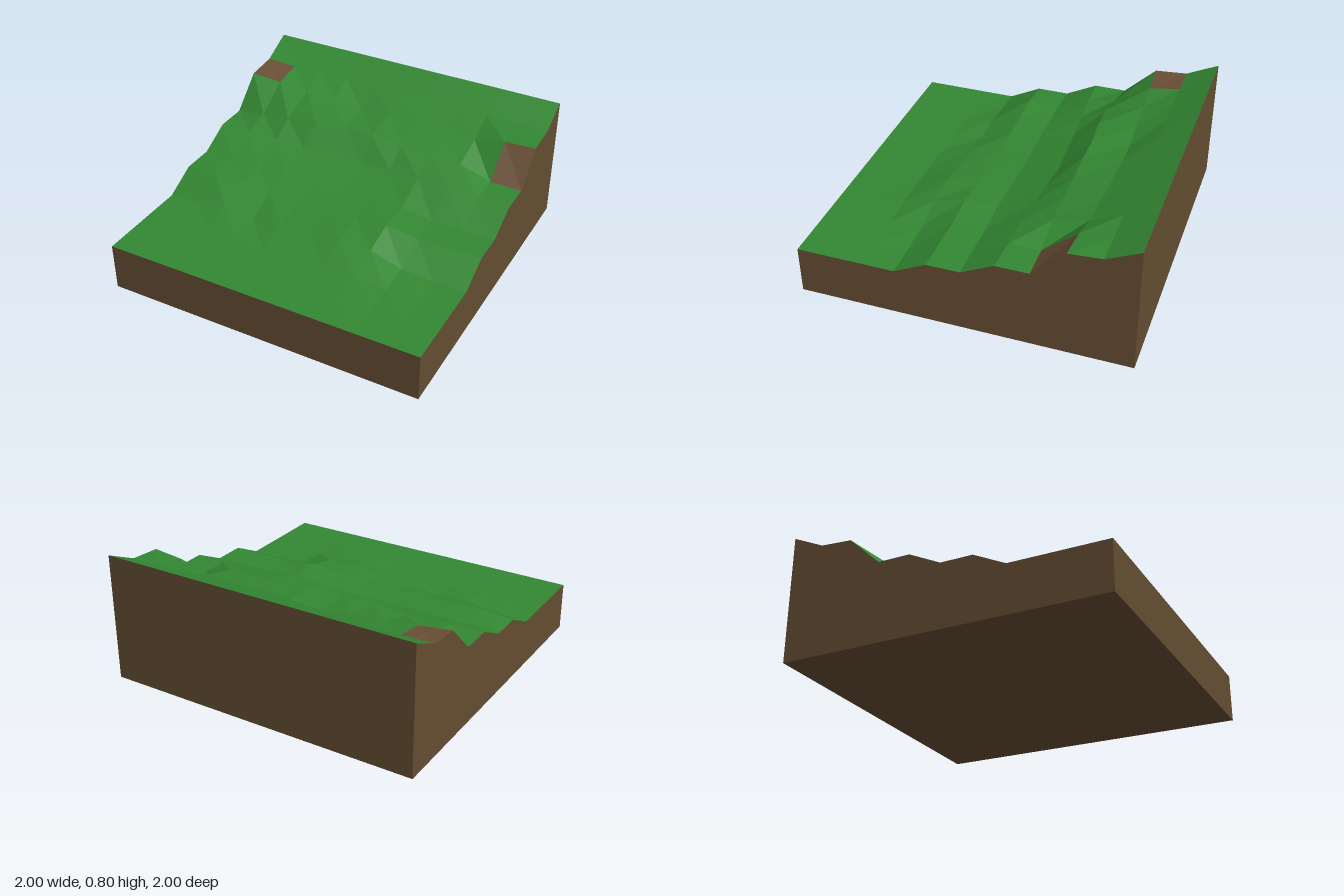
import * as THREE from 'three';

// Terrain rows from back (z = -1) to front (z = 1), eleven heights each from x = -1 to x = 1
const HEIGHTS = [
  [.8, .8, .8, .8, .8, .8, .8, .8, .8, .8, .8],
  [.705, .7, .7, .7, .705, .705, .705, .705, .705, .705, .705],
  [.69, .67, .645, .63, .61, .63, .63, .625, .625, .675, .69],
  [.5, .535, .57, .6, .6, .6, .585, .58, .57, .505, .5],
  [.5, .5, .49, .48, .48, .48, .49, .505, .51, .5, .5],
  [.4, .41, .41, .41, .405, .405, .41, .42, .4, .4, .4],
  [.4, .42, .41, .395, .39, .395, .405, .425, .4, .4, .4],
  [.3, .315, .34, .325, .35, .365, .385, .375, .315, .3, .3],
  [.3, .3, .305, .305, .3, .305, .315, .32, .305, .3, .3],
  [.3, .3, .3, .3, .3, .3, .305, .305, .3, .3, .3],
  [.3, .3, .3, .3, .3, .3, .3, .3, .3, .3, .3],
];
// How far the middle of a row bows along z
const BOW = { 2: -0.04, 4: -0.045 };

const N = 10;
function point(row, col) {
  const x = -1 + col * 0.2;
  let z = -1 + row * 0.2 + (BOW[row] || 0) * (1 - Math.abs(x));
  if (row === 3) z += 0.03 * Math.max(0, 1 - Math.abs(x + 0.6) / 0.4);
  return [x, HEIGHTS[row][col], z];
}

// Two triangles for every grid cell accepted by the filter
function cells(filter) {
  const positions = [];
  for (let r = 0; r < N; r++) {
    for (let c = 0; c < N; c++) {
      if (!filter(r, c)) continue;
      const a = point(r, c), b = point(r + 1, c);
      const d = point(r + 1, c + 1), e = point(r, c + 1);
      positions.push(...a, ...b, ...d, ...a, ...d, ...e);
    }
  }
  const geometry = new THREE.BufferGeometry();
  geometry.setAttribute('position', new THREE.Float32BufferAttribute(positions, 3));
  geometry.computeVertexNormals();
  return geometry;
}

export function createModel() {
  const group = new THREE.Group();
  group.name = 'hillside';

  const material = (name, color) => {
    const m = new THREE.MeshStandardMaterial({ color, flatShading: true });
    m.name = name;
    return m;
  };
  const grass = material('grass', 0x338833);
  const earth = material('earth', 0x644d32);
  const dirt = material('bareDirt', 0x6a4f37);

  const add = (name, geometry, mat) => {
    const mesh = new THREE.Mesh(geometry, mat);
    mesh.name = name;
    group.add(mesh);
    return mesh;
  };

  // Stepped slope with two bare cells
  const isBare = (r, c) => (r === 1 && c === 0) || (r === 2 && c === 9);
  add('grassSlope', cells((r, c) => !isBare(r, c)), grass);
  add('dirtPatches', cells(isBare), dirt);

  // Side walls follow the slope's edge profile
  for (const side of [1, -1]) {
    const outline = [new THREE.Vector2(-1, 0), new THREE.Vector2(1, 0)];
    for (let i = 0; i <= N; i++) {
      const [, y, z] = point(i, side > 0 ? N : 0);
      outline.push(new THREE.Vector2(-side * z, y));
    }
    // Keep the outline in walking order for either side
    if (side < 0) outline.splice(2, N + 1, ...outline.slice(2).reverse());
    const wall = add(side > 0 ? 'leftWall' : 'rightWall',
      new THREE.ShapeGeometry(new THREE.Shape(outline)), earth);
    wall.rotation.y = side * Math.PI / 2;
    wall.position.x = side;
  }

  // Front wall, back wall and underside
  const front = add('frontWall', new THREE.PlaneGeometry(2, 0.3), earth);
  front.position.set(0, 0.15, 1);
  const back = add('backWall', new THREE.PlaneGeometry(2, 0.8), earth);
  back.position.set(0, 0.4, -1);
  back.rotation.y = Math.PI;
  const underside = add('underside', new THREE.PlaneGeometry(2, 2), earth);
  underside.rotation.x = Math.PI / 2;

  return group;
}
